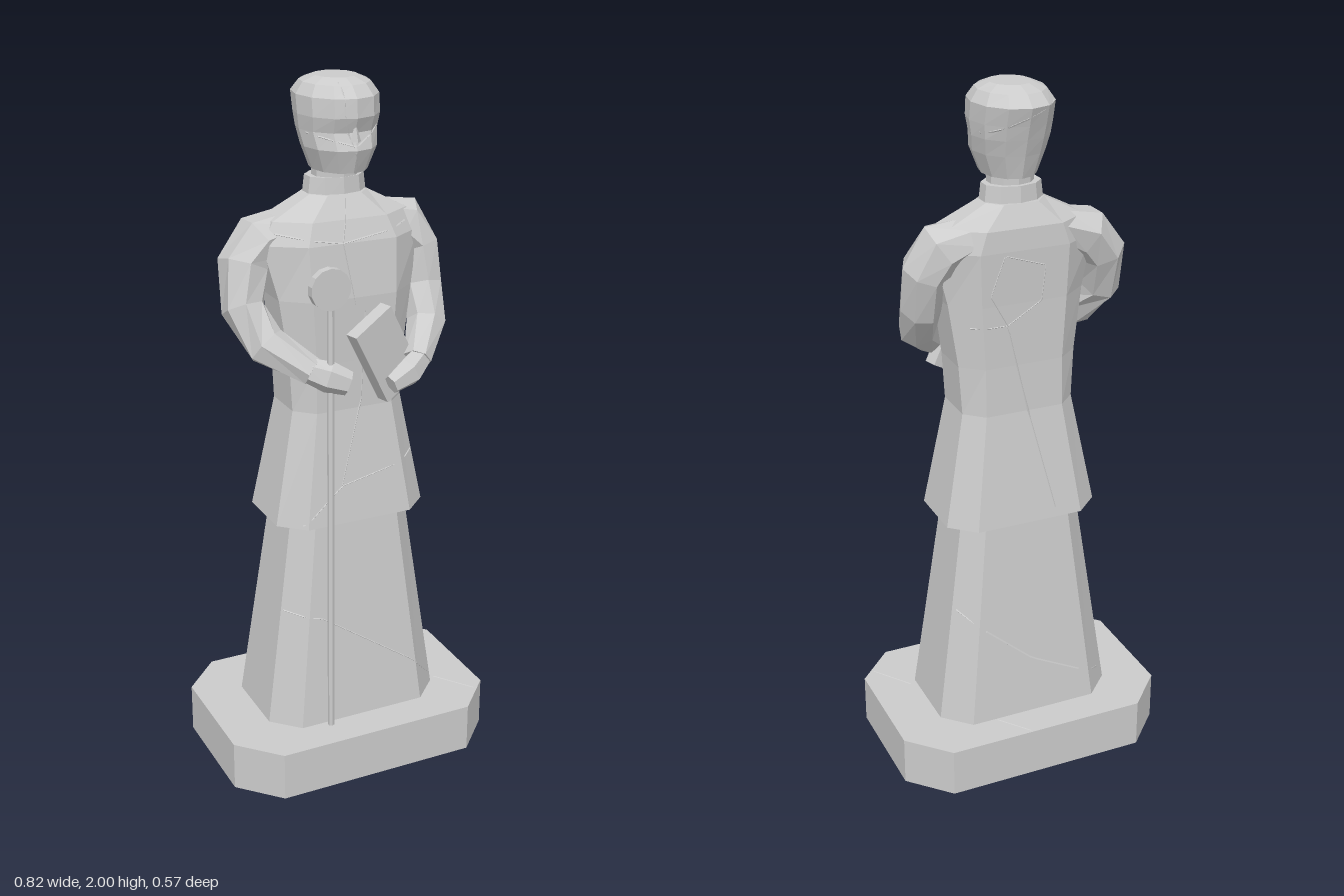
import * as THREE from 'three';

const material = new THREE.MeshStandardMaterial({ color: 0xcccccc, flatShading: true, side: THREE.DoubleSide });

// Closed surface through a stack of equal-length rings, each a list of Vector3
function loft(rings) {
  const n = rings[0].length, pos = [];
  const tri = (...v) => v.forEach(p => pos.push(p.x, p.y, p.z));
  for (let i = 0; i < rings.length - 1; i++) {
    for (let j = 0; j < n; j++) {
      const k = (j + 1) % n, lo = rings[i], hi = rings[i + 1];
      tri(lo[j], lo[k], hi[k]);
      tri(lo[j], hi[k], hi[j]);
    }
  }
  const first = rings[0], last = rings[rings.length - 1];
  for (let j = 1; j < n - 1; j++) {
    tri(first[0], first[j + 1], first[j]);
    tri(last[0], last[j], last[j + 1]);
  }
  const g = new THREE.BufferGeometry();
  g.setAttribute('position', new THREE.Float32BufferAttribute(pos, 3));
  g.computeVertexNormals();
  return g;
}

// Chamfered rectangle: half width, flat half width, front z, back z, corner depth
const octagon = ([y, hw, flat, zf, zb, c]) =>
  [[flat, zf], [hw, zf - c], [hw, zb + c], [flat, zb], [-flat, zb], [-hw, zb + c], [-hw, zf - c], [-flat, zf]]
    .map(([x, z]) => new THREE.Vector3(x, y, z));

// Ellipse ring: half width, front z, back z
const oval = ([y, hw, zf, zb], n = 12) => Array.from({ length: n }, (_, i) => {
  const a = (i / n) * Math.PI * 2;
  return new THREE.Vector3(Math.sin(a) * hw, y, (zf + zb) / 2 + Math.cos(a) * (zf - zb) / 2);
});

// Limb swept along points [x, y, z, radius, depth radius]
function limb(points, sides = 7) {
  const p = points.map(q => new THREE.Vector3(q[0], q[1], q[2]));
  return loft(p.map((c, i) => {
    const t = p[Math.min(i + 1, p.length - 1)].clone().sub(p[Math.max(i - 1, 0)]).normalize();
    const u = new THREE.Vector3(0, 0, 1).cross(t).normalize();
    const v = t.clone().cross(u);
    return Array.from({ length: sides }, (_, j) => {
      const a = (j / sides) * Math.PI * 2;
      return c.clone().addScaledVector(u, Math.cos(a) * points[i][3]).addScaledVector(v, Math.sin(a) * points[i][4]);
    });
  }));
}

export function createModel() {
  const group = new THREE.Group();
  const add = (name, geometry, position = [0, 0, 0], rotation = [0, 0, 0]) => {
    const mesh = new THREE.Mesh(geometry, material);
    mesh.name = name;
    mesh.position.set(...position);
    mesh.rotation.set(...rotation, 'YXZ');
    group.add(mesh);
    return mesh;
  };

  // Plinth and robe
  const plinth = add('plinth', loft([0, 0.145].map(y => octagon([y, 0.41, 0.3, 0.287, -0.287, 0.114]))));
  const skirt = add('skirt', loft([
    [0.145, 0.27, 0.195, 0.18, -0.185, 0.075],
    [0.80, 0.178, 0.125, 0.13, -0.13, 0.055],
  ].map(octagon)));
  const coat = add('coat', loft([
    [0.77, 0.23, 0.16, 0.155, -0.155, 0.065],
    [1.10, 0.167, 0.115, 0.117, -0.112, 0.05],
    [1.24, 0.175, 0.115, 0.117, -0.108, 0.05],
    [1.42, 0.2, 0.125, 0.12, -0.11, 0.06],
    [1.57, 0.235, 0.13, 0.105, -0.115, 0.07],
    [1.63, 0.2, 0.11, 0.085, -0.112, 0.06],
    [1.69, 0.085, 0.05, 0.05, -0.085, 0.04],
  ].map(octagon)));

  // Collar, neck and head
  add('collar', loft([[1.67, 0.092, 0.05, -0.085], [1.735, 0.084, 0.046, -0.08]].map(s => oval(s, 10))));
  add('neck', loft([[1.72, 0.066, 0.045, -0.068], [1.78, 0.066, 0.045, -0.068]].map(s => oval(s, 10))));
  const head = add('head', loft([
    [1.757, 0.075, 0.105, -0.09],
    [1.82, 0.1, 0.128, -0.108],
    [1.865, 0.108, 0.112, -0.122],
    [1.905, 0.113, 0.128, -0.135],
    [1.955, 0.113, 0.125, -0.152],
    [1.985, 0.093, 0.095, -0.12],
    [2.0, 0.058, 0.056, -0.075],
  ].map(s => oval(s))));
  add('nose', new THREE.ConeGeometry(0.016, 0.05, 4), [0, 1.868, 0.115]);

  // Arms bent forward at the elbow
  add('rightArm', limb([
    [-0.12, 1.605, -0.03, 0.05, 0.075],
    [-0.215, 1.57, -0.03, 0.075, 0.08],
    [-0.268, 1.51, -0.02, 0.07, 0.078],
    [-0.285, 1.40, 0.015, 0.06, 0.07],
    [-0.25, 1.31, 0.085, 0.058, 0.055],
    [-0.15, 1.245, 0.165, 0.04, 0.04],
  ]));
  add('leftArm', limb([
    [0.12, 1.605, -0.03, 0.05, 0.075],
    [0.205, 1.575, -0.02, 0.078, 0.08],
    [0.25, 1.51, -0.005, 0.062, 0.078],
    [0.252, 1.40, 0.025, 0.056, 0.07],
    [0.235, 1.31, 0.09, 0.056, 0.055],
    [0.165, 1.235, 0.17, 0.04, 0.04],
  ]));

  // Hands
  add('rightHand', limb([
    [-0.165, 1.252, 0.16, 0.034, 0.03],
    [-0.115, 1.235, 0.195, 0.044, 0.036],
    [-0.065, 1.215, 0.215, 0.034, 0.026],
  ], 6));
  add('leftHand', limb([
    [0.175, 1.24, 0.17, 0.034, 0.03],
    [0.125, 1.215, 0.2, 0.042, 0.036],
    [0.065, 1.19, 0.212, 0.028, 0.024],
  ], 6));

  // Walking staff with a disc head
  add('staff', new THREE.CylinderGeometry(0.01, 0.01, 1.39, 6), [-0.11, 0.835, 0.195]);
  add('staffHead', new THREE.CylinderGeometry(0.058, 0.058, 0.024, 14), [-0.112, 1.48, 0.193], [Math.PI / 2, 0, 0]);

  // Book held at a tilt
  const tilt = [0, 0.24, 0.5];
  add('book', new THREE.BoxGeometry(0.138, 0.24, 0.042), [0.075, 1.26, 0.148], tilt);

  // Thin seams laid on the stone: each path is projected onto a part along one axis
  const ray = new THREE.Raycaster();
  function seam(target, direction, path) {
    const d = new THREE.Vector3(...direction), hits = [];
    for (let i = 0; i < path.length - 1; i++) {
      for (let s = i ? 1 : 0; s <= 6; s++) {
        const u = THREE.MathUtils.lerp(path[i][0], path[i + 1][0], s / 6);
        const v = THREE.MathUtils.lerp(path[i][1], path[i + 1][1], s / 6);
        ray.set(d.y ? new THREE.Vector3(u, 3, v) : new THREE.Vector3(u, v, -3 * d.z), d);
        const hit = ray.intersectObject(target)[0];
        if (hit) hits.push(hit.point.addScaledVector(d, 0.0015));
      }
    }
    if (hits.length < 2) return;
    const curve = new THREE.CurvePath();
    for (let i = 1; i < hits.length; i++) curve.add(new THREE.LineCurve3(hits[i - 1], hits[i]));
    add('seam', new THREE.TubeGeometry(curve, hits.length * 2, 0.003, 4));
  }
  group.updateMatrixWorld(true);
  const front = [0, 0, -1], back = [0, 0, 1], top = [0, -1, 0];
  seam(skirt, front, [[-0.215, 0.5], [-0.12, 0.48], [0.17, 0.28], [0.25, 0.19]]);
  seam(skirt, back, [[0.21, 0.5], [0, 0.32], [-0.24, 0.2]]);
  seam(coat, front, [[-0.17, 0.78], [-0.05, 0.88], [0.195, 0.93]]);
  seam(coat, front, [[-0.05, 0.88], [0.02, 1.12], [0.03, 1.38]]);
  seam(coat, front, [[0, 1.68], [-0.03, 1.57], [0.0, 1.4]]);
  seam(coat, front, [[-0.2, 1.6], [-0.03, 1.57], [0.18, 1.6]]);
  seam(coat, back, [[0.15, 1.36], [0.05, 1.36], [-0.08, 0.8]]);
  seam(coat, back, [[0.05, 1.36], [-0.05, 1.42], [-0.06, 1.52], [0.06, 1.56], [0.1, 1.45], [0.05, 1.36]]);
  seam(head, front, [[-0.03, 1.99], [-0.03, 1.91], [0.01, 1.77]]);
  seam(head, front, [[-0.1, 1.86], [0, 1.83], [0.1, 1.88]]);
  seam(head, back, [[0.1, 1.88], [0, 1.93], [-0.1, 1.96]]);
  seam(plinth, top, [[0.05, -0.28], [0.12, -0.19]]);
  seam(plinth, top, [[0.29, 0.09], [0.37, 0.2]]);
  return group;
}
